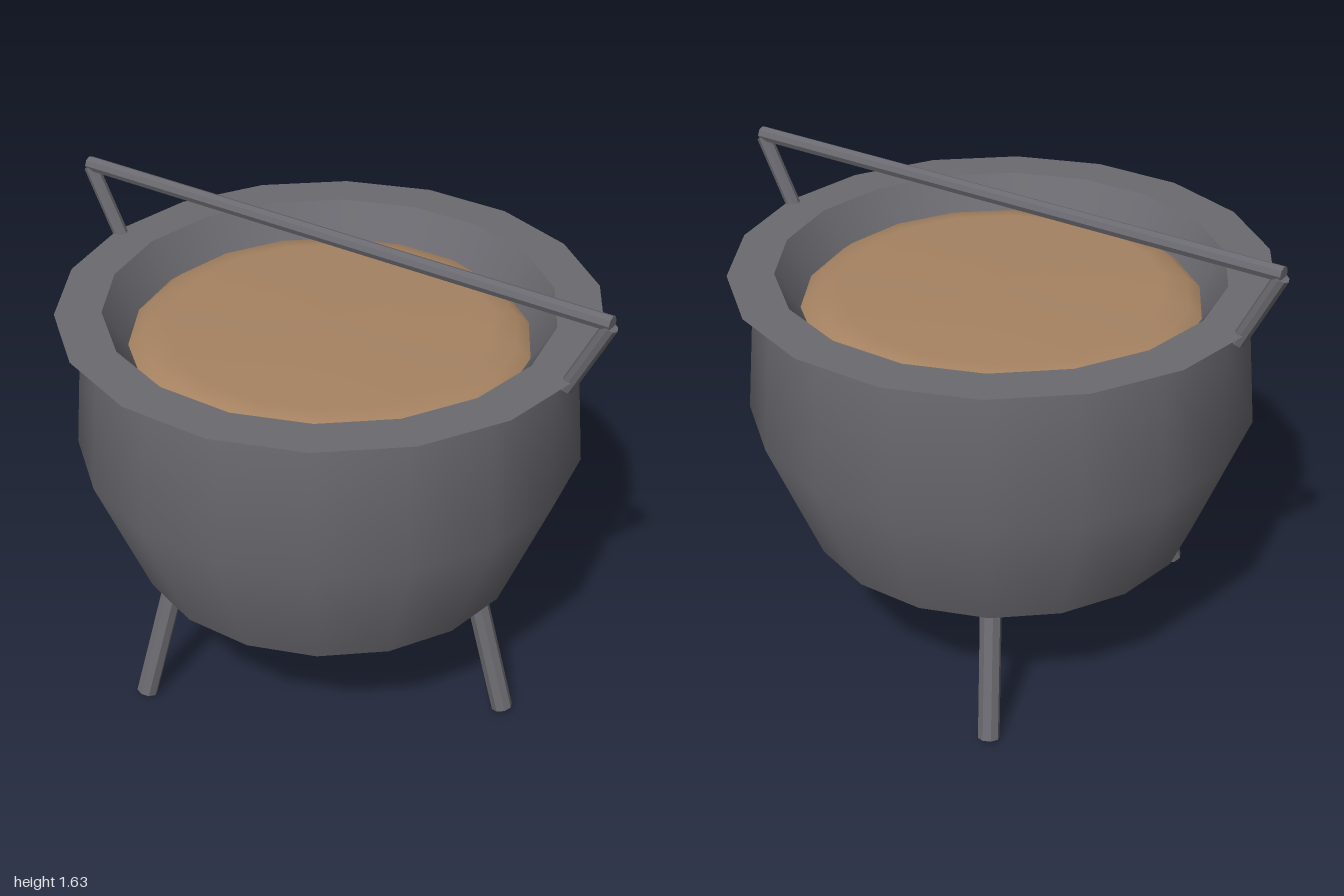
import * as THREE from 'three';

const SIDES = 18;
const UP = new THREE.Vector3(0, 1, 0);

export function createModel() {
  const model = new THREE.Group();
  const iron = new THREE.MeshStandardMaterial({ color: 0x6b6a70 });
  const ironFlat = new THREE.MeshStandardMaterial({ color: 0x6b6a70, flatShading: true });
  const broth = new THREE.MeshStandardMaterial({ color: 0xa68362 });

  const add = (name, geometry, material, parent = model) => {
    const mesh = new THREE.Mesh(geometry, material);
    mesh.name = name;
    parent.add(mesh);
    return mesh;
  };

  // Turned part with corners on the x axis; profile runs outside-up, inside-down
  const turned = (name, profile, material, parent) => add(name,
    new THREE.LatheGeometry(profile.map(([r, y]) => new THREE.Vector2(r, y)), SIDES, Math.PI / SIDES),
    material, parent);

  // Straight faceted rod between two points
  const rod = (name, a, b, radius, parent) => {
    const from = new THREE.Vector3(...a), to = new THREE.Vector3(...b);
    const dir = to.clone().sub(from);
    const mesh = add(name, new THREE.CylinderGeometry(radius, radius, dir.length(), 8), ironFlat, parent);
    mesh.position.copy(from).add(to).multiplyScalar(0.5);
    mesh.quaternion.setFromUnitVectors(UP, dir.normalize());
    return mesh;
  };

  // Pot: separate turned surfaces keep the edges between them sharp
  const pot = new THREE.Group();
  pot.name = 'pot';
  model.add(pot);
  turned('potBase', [[0, 0.46], [0.665, 0.46]], iron, pot);
  turned('potWall', [[0.665, 0.46], [0.84, 0.905], [0.8, 1.345]], iron, pot);
  turned('rimUnderside', [[0.8, 1.345], [0.88, 1.385]], iron, pot);
  turned('rimTop', [[0.88, 1.385], [0.73, 1.385]], iron, pot);
  turned('innerWall', [[0.73, 1.385], [0.64, 1.24]], iron, pot);

  // Contents: flat top rounding down to the wall
  turned('soup', [[0.655, 1.26], [0.61, 1.295], [0.53, 1.31], [0, 1.315]], broth);

  // Three splayed legs
  for (let i = 0; i < 3; i++) {
    const a = (i * 2 * Math.PI) / 3, c = Math.cos(a), s = Math.sin(a);
    rod('leg', [0.71 * c, 0.01, 0.71 * s], [0.575 * c, 0.48, 0.575 * s], 0.036, model);
  }

  // Carrying handle: two leaning struts and a crossbar
  const handle = new THREE.Group();
  handle.name = 'handle';
  model.add(handle);
  for (const side of [-1, 1]) {
    rod('handleStrut', [side * 0.85, 1.35, 0], [side * 0.975, 1.6, 0], 0.025, handle);
  }
  rod('handleBar', [-0.98, 1.61, 0], [0.98, 1.61, 0], 0.025, handle);

  return model;
}
